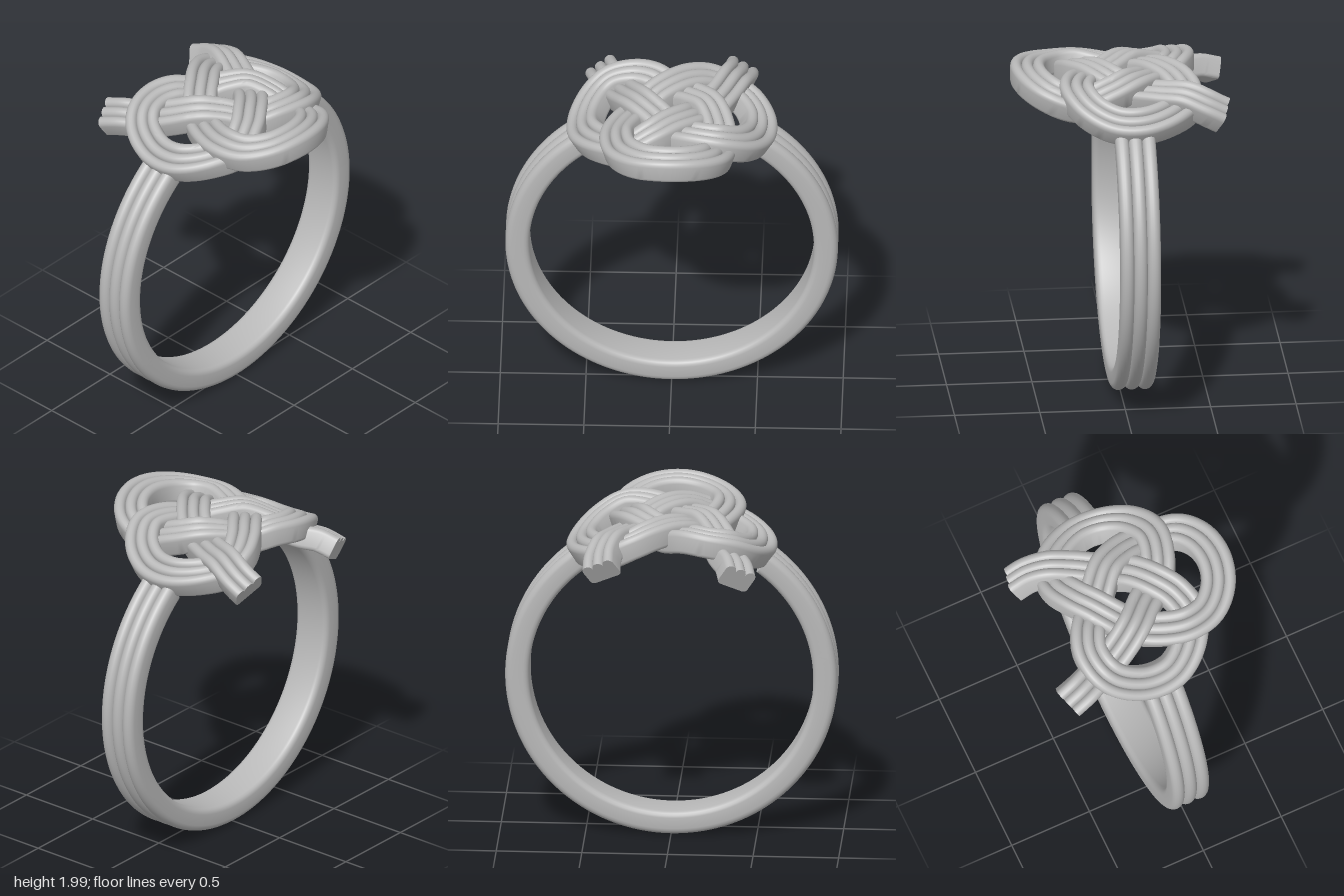
import * as THREE from 'three';
import { toCreasedNormals } from 'three/addons/utils/BufferGeometryUtils.js';

const CENTER_Y = 0.975;

// Cross-section with three round ridges on top (n = 0) and a flat, soft-cornered underside
function ridgedProfile(width, depth, corner) {
  const pts = [];
  const r = width / 6;
  const arc = (cx, cy, rad, from, to, steps, skip) => {
    for (let i = skip; i <= steps; i++) {
      const a = from + ((to - from) * i) / steps;
      pts.push(new THREE.Vector2(cx + rad * Math.cos(a), cy + rad * Math.sin(a)));
    }
  };
  [2 * r, 0, -2 * r].forEach((c, k) => arc(c, -r, r, 0, Math.PI, 8, k ? 1 : 0));
  arc(-width / 2 + corner, -depth + corner, corner, Math.PI, Math.PI * 1.5, 4, 0);
  arc(width / 2 - corner, -depth + corner, corner, Math.PI * 1.5, Math.PI * 2, 4, 0);
  return pts;
}

// Point on the finger-sized cylinder
const onCylinder = (angle, radius, z) =>
  new THREE.Vector3(radius * Math.sin(angle), CENTER_Y + radius * Math.cos(angle), z);

// Sweep a profile along a path, keeping its top turned away from the ring's axis
function sweep(profile, pathAt, segments) {
  const pos = [];
  const index = [];
  const n = profile.length;
  for (let i = 0; i <= segments; i++) {
    const t = i / segments;
    const p = pathAt(t);
    const T = pathAt(Math.min(1, t + 0.002)).sub(pathAt(Math.max(0, t - 0.002))).normalize();
    const N = new THREE.Vector3(p.x, p.y - CENTER_Y, 0).normalize();
    const B = N.clone().cross(T).normalize();
    N.copy(T).cross(B).normalize();
    for (const q of profile) {
      const v = p.clone().addScaledVector(B, q.x).addScaledVector(N, q.y);
      pos.push(v.x, v.y, v.z);
    }
  }
  for (let i = 0; i < segments; i++) {
    for (let j = 0; j < n; j++) {
      const a = i * n + j;
      const b = i * n + ((j + 1) % n);
      index.push(a, b, a + n, b, b + n, a + n);
    }
  }
  // End caps
  const last = segments * n;
  for (const [a, b, c] of THREE.ShapeUtils.triangulateShape(profile, [])) {
    index.push(a, c, b, last + a, last + b, last + c);
  }
  const geo = new THREE.BufferGeometry();
  geo.setAttribute('position', new THREE.Float32BufferAttribute(pos, 3));
  geo.setIndex(index);
  return toCreasedNormals(geo, 0.75);
}

// Knot centre line: x, z, height offset (over / under at each crossing)
const KNOT = [
  [0.435, -0.61, -0.05], [0.41, -0.5, 0.0], [0.36, -0.37, 0.03], [0.3, -0.22, 0.0],
  [0.21, -0.06, -0.035], [0.12, 0.05, 0.0], [0, 0.15, 0.015], [-0.12, 0.23, 0.0],
  [-0.27, 0.265, -0.035], [-0.42, 0.19, -0.01], [-0.52, 0.05, 0.01], [-0.53, -0.12, 0.01],
  [-0.46, -0.28, 0.02], [-0.37, -0.35, 0.03], [-0.24, -0.37, 0.015], [-0.12, -0.33, 0.0],
  [0, -0.24, -0.035], [0.11, -0.16, 0.0], [0.21, -0.06, 0.03], [0.28, 0.08, 0.005],
  [0.31, 0.24, -0.035], [0.26, 0.4, 0.0], [0.14, 0.495, 0.015], [-0.02, 0.525, 0.02],
  [-0.18, 0.48, 0.02], [-0.29, 0.37, 0.025], [-0.32, 0.22, 0.03], [-0.28, 0.06, 0.0],
  [-0.2, -0.07, -0.035], [-0.1, -0.16, 0.0], [0, -0.235, 0.015], [0.12, -0.32, 0.01],
  [0.24, -0.37, -0.01], [0.36, -0.36, -0.03], [0.46, -0.28, -0.005], [0.53, -0.12, 0.01],
  [0.52, 0.05, 0.01], [0.43, 0.19, 0.02], [0.29, 0.26, 0.03], [0.13, 0.23, 0.0],
  [0, 0.15, -0.035], [-0.1, 0.04, 0.0], [-0.2, -0.07, 0.03], [-0.3, -0.22, 0.0],
  [-0.375, -0.37, -0.035], [-0.43, -0.5, -0.03], [-0.47, -0.61, -0.05],
];

export function createModel() {
  const ring = new THREE.Group();
  ring.name = 'knotRing';
  const metal = new THREE.MeshStandardMaterial({ color: 0xb8b8b8 });
  metal.name = 'grey metal';

  // Open band, its ends tucked beneath the side loops
  const gap = THREE.MathUtils.degToRad(37);
  const bandPath = (t) => onCylinder(gap + t * (Math.PI * 2 - gap * 2), 0.97, -0.0525);
  const band = new THREE.Mesh(sweep(ridgedProfile(0.235, 0.14, 0.035), bandPath, 128), metal);
  band.name = 'band';

  // One continuous woven strand with three loops and two tails
  const curve = new THREE.CatmullRomCurve3(KNOT.map(([x, z, h]) => new THREE.Vector3(x, h, z)));
  const knotPath = (t) => {
    const p = curve.getPoint(t);
    return onCylinder(Math.asin(p.x), 1.005 + p.y, p.z);
  };
  const knot = new THREE.Mesh(sweep(ridgedProfile(0.2, 0.14, 0.025), knotPath, 300), metal);
  knot.name = 'wovenKnot';

  ring.add(band, knot);
  return ring;
}
